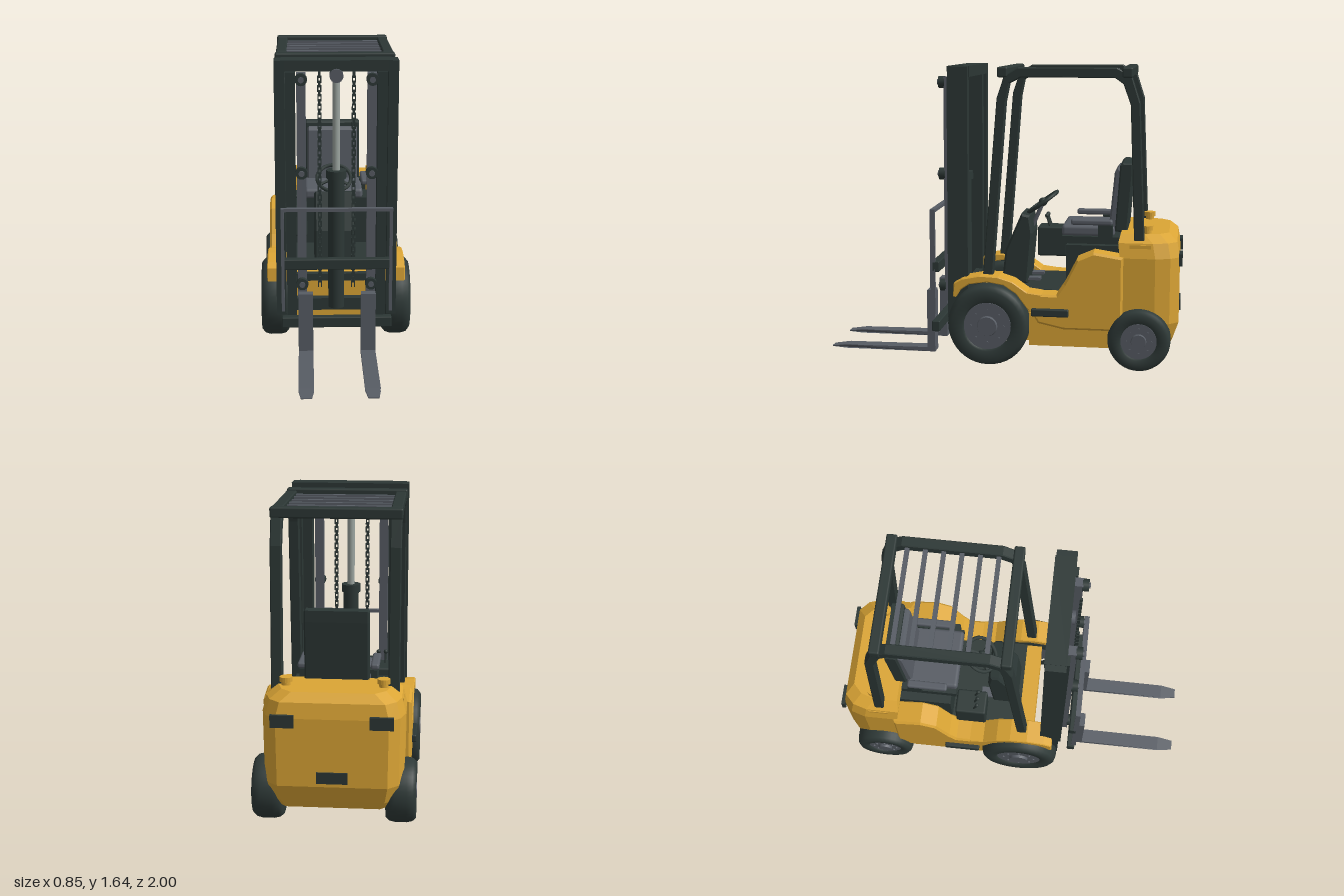
import * as THREE from 'three';
import { RoundedBoxGeometry } from 'three/addons/geometries/RoundedBoxGeometry.js';

const paint = (name, color, flatShading = false) => {
  const m = new THREE.MeshStandardMaterial({ color });
  m.name = name;
  m.flatShading = flatShading;
  return m;
};

export function createModel() {
  const yellow = paint('yellowPaint', 0xdba535, true);
  const dark = paint('darkFrame', 0x2c3735);
  const rubber = paint('rubber', 0x2f3a38);
  const grey = paint('greySteel', 0x575c64);
  const chrome = paint('chrome', 0x9ca5a0);
  const model = new THREE.Group();
  model.name = 'forklift';

  const add = (name, geo, mat, x = 0, y = 0, z = 0, parent = model) => {
    const m = new THREE.Mesh(geo, mat);
    m.name = name;
    m.position.set(x, y, z);
    parent.add(m);
    return m;
  };
  // Box given by its limits on each axis
  const box = (name, mat, [x0, x1], [y0, y1], [z0, z1], round = 0) => {
    const s = [x1 - x0, y1 - y0, z1 - z0];
    const geo = round ? new RoundedBoxGeometry(...s, 2, round) : new THREE.BoxGeometry(...s);
    return add(name, geo, mat, (x0 + x1) / 2, (y0 + y1) / 2, (z0 + z1) / 2);
  };
  // Side outline of [z, y] points, extruded from x0 to x1
  const slab = (name, mat, pts, x0, x1, bevel = 0) => {
    const shape = new THREE.Shape(pts.map(([z, y]) => new THREE.Vector2(z, y)));
    const geo = new THREE.ExtrudeGeometry(shape, {
      depth: x1 - x0 - 2 * bevel, bevelEnabled: bevel > 0, bevelSize: bevel,
      bevelThickness: bevel, bevelOffset: -bevel, bevelSegments: 1,
    });
    geo.rotateY(-Math.PI / 2).translate(x1 - bevel, 0, 0);
    return add(name, geo, mat);
  };
  const rod = (name, mat, a, b, r, seg = 16) => {
    const p = new THREE.Vector3(...a), d = new THREE.Vector3(...b).sub(p);
    const m = add(name, new THREE.CylinderGeometry(r, r, d.length(), seg), mat);
    m.position.copy(p).addScaledVector(d, 0.5);
    m.quaternion.setFromUnitVectors(new THREE.Vector3(0, 1, 0), d.normalize());
    return m;
  };
  const span = (s, a, b) => (s > 0 ? [a, b] : [-b, -a]);

  // Chassis
  slab('chassis', yellow, [[0.13, 0.13], [0.13, 0.4], [-0.68, 0.4], [-0.68, 0.12], [0.1, 0.12]], -0.26, 0.26);
  box('lowerBody', yellow, [-0.36, 0.36], [0.12, 0.3], [-0.7, -0.17]);
  box('floor', dark, [-0.26, 0.26], [0.395, 0.412], [-0.36, 0.04]);
  box('engineCover', dark, [-0.25, 0.25], [0.4, 0.665], [-0.68, -0.36]);

  // Counterweight lofted from chamfered loops: [y, half width, back z, front z]
  const levels = [[0.13, 0.32, -0.935, -0.66], [0.17, 0.345, -0.95, -0.66], [0.26, 0.36, -0.98, -0.66],
    [0.62, 0.365, -0.98, -0.66], [0.7, 0.345, -0.965, -0.65], [0.742, 0.29, -0.92, -0.66]];
  const pos = [], idx = [], n = 8;
  levels.forEach(([y, w, b, f]) => {
    const half = [[w, f], [w, b + 0.13], [w - 0.025, b + 0.05], [w - 0.08, b]];
    [...half, ...half.map(([x, z]) => [-x, z]).reverse()].forEach(([x, z]) => pos.push(x, y, z));
  });
  for (let l = 0; l < levels.length - 1; l++) {
    for (let i = 0; i < n; i++) {
      const a = l * n + i, b = l * n + (i + 1) % n;
      idx.push(a, b, b + n, a, b + n, a + n);
    }
  }
  const top = (levels.length - 1) * n;
  for (let i = 1; i < n - 1; i++) idx.push(0, i + 1, i, top, top + i, top + i + 1);
  const weight = new THREE.BufferGeometry();
  weight.setAttribute('position', new THREE.Float32BufferAttribute(pos, 3));
  weight.setIndex(idx);
  weight.computeVertexNormals();
  add('counterweight', weight, yellow);
  box('rearPlate', dark, [-0.08, 0.08], [0.28, 0.34], [-0.988, -0.979]);

  // Wheel with its axle along x
  const wheel = (name, s, r, hub, z) => {
    const g = new THREE.Group();
    g.name = name;
    g.position.set(s * 0.345, r + 0.005, z);
    g.rotation.z = -s * Math.PI / 2;
    model.add(g);
    const tyre = [[hub, -0.075], [r * 0.86, -0.078], [r * 0.96, -0.06], [r, -0.03], [r, 0.03],
      [r * 0.96, 0.06], [r * 0.86, 0.078], [hub * 1.08, 0.075], [hub, 0.06]];
    add('tyre', new THREE.LatheGeometry(tyre.map(p => new THREE.Vector2(...p)), 40), rubber, 0, 0, 0, g);
    add('rim', new THREE.CylinderGeometry(hub, hub, 0.13, 32), grey, 0, 0, 0, g);
    add('hubCap', new THREE.CylinderGeometry(hub * 0.4, hub * 0.45, 0.02, 20), grey, 0, 0.07, 0, g);
    for (let i = 0; i < 8; i++) {
      const t = i * Math.PI / 4;
      add('wheelNut', new THREE.CylinderGeometry(0.007, 0.007, 0.01, 6), grey,
        Math.cos(t) * hub * 0.7, 0.068, Math.sin(t) * hub * 0.7, g);
    }
  };

  for (const s of [1, -1]) {
    wheel('frontWheel', s, 0.225, 0.13, 0.055);
    wheel('rearWheel', s, 0.17, 0.097, -0.77);

    // Side panel, fender and step
    slab('sidePanel', yellow, [[-0.68, 0.22], [-0.36, 0.22], [-0.22, 0.25], [-0.17, 0.34], [-0.15, 0.41],
      [-0.32, 0.41], [-0.36, 0.47], [-0.43, 0.61], [-0.52, 0.65], [-0.68, 0.625]].reverse(), ...span(s, 0.245, 0.388), 0.012);
    slab('fender', yellow, [[0.25, 0.385], [0.245, 0.46], [0.2, 0.485], [0.1, 0.505], [0, 0.5], [-0.08, 0.475],
      [-0.16, 0.42], [-0.24, 0.41], [-0.22, 0.27], [-0.16, 0.33], [-0.1, 0.41], [-0.03, 0.455],
      [0.06, 0.47], [0.16, 0.455], [0.21, 0.42], [0.235, 0.38]], ...span(s, 0.25, 0.388), 0.005);
    box('step', dark, span(s, 0.33, 0.412), [0.293, 0.335], [-0.39, -0.185], 0.008);
    box('pillarFoot', yellow, span(s, 0.265, 0.352), [0.6, 0.69], [-0.825, -0.71]);
    box('tailLight', dark, span(s, 0.19, 0.31), [0.575, 0.64], [-0.995, -0.975]);
    rod('beaconBase', yellow, [s * 0.25, 0.73, -0.8], [s * 0.25, 0.765, -0.8], 0.024);
    rod('beacon', yellow, [s * 0.25, 0.76, -0.8], [s * 0.25, 0.785, -0.8], 0.033);

    // Overhead guard side frame: front post, roof rail and rear post in one outline
    slab('guardFrame', dark, [[0.095, 0.46], [0.015, 1.47], [-0.025, 1.59], [-0.1, 1.635], [-0.63, 1.635],
      [-0.71, 1.59], [-0.755, 1.45], [-0.79, 0.68], [-0.735, 0.68], [-0.705, 1.44], [-0.665, 1.55],
      [-0.62, 1.582], [-0.115, 1.582], [-0.055, 1.55], [-0.035, 1.45], [0.04, 0.46]], ...span(s, 0.272, 0.33), 0.005);

    // Mast uprights, guide rails and rollers
    box('outerMast', dark, span(s, 0.28, 0.335), [0.2, 1.64], [0.175, 0.285]);
    box('innerMast', dark, span(s, 0.222, 0.275), [0.2, 1.58], [0.19, 0.3]);
    box('guideRail', grey, span(s, 0.165, 0.215), [0.32, 1.58], [0.285, 0.33]);
    for (const y of [0.405, 1.04, 1.55]) {
      rod('roller', dark, [s * 0.19, y, 0.325], [s * 0.19, y, 0.36], 0.033);
      rod('rollerPin', grey, [s * 0.19, y, 0.355], [s * 0.19, y, 0.368], 0.016);
    }

    // Lift chain of paired and single links
    for (let i = 0; i < 24; i++) {
      const y = 0.38 + i * 0.05;
      for (const o of [-0.008, 0.008]) {
        box('chainPlate', dark, [s * 0.092 + o - 0.003, s * 0.092 + o + 0.003], [y, y + 0.036], [0.318, 0.334]);
      }
      box('chainLink', dark, [s * 0.092 - 0.007, s * 0.092 + 0.007], [y + 0.026, y + 0.06], [0.32, 0.332]);
    }

    // Forks and load backrest
    slab('fork', grey, [[0.39, 0.018], [0.91, 0.018], [1, 0.022], [1, 0.027], [0.91, 0.038],
      [0.435, 0.042], [0.435, 0.375], [0.39, 0.375]], ...span(s, 0.132, 0.213));
    box('backrestSide', grey, span(s, 0.288, 0.305), [0.26, 0.852], [0.367, 0.395]);
    box('armrest', grey, span(s, 0.17, 0.215), [0.77, 0.802], [-0.61, -0.38], 0.012);
    box('armrestMount', dark, span(s, 0.165, 0.205), [0.7, 0.77], [-0.61, -0.53]);
  }
  // Tapered fork tips
  model.children.filter(c => c.name === 'fork').forEach(({ geometry }) => {
    const p = geometry.attributes.position;
    for (let i = 0; i < p.count; i++) {
      if (p.getZ(i) > 0.95) {
        const c = Math.sign(p.getX(i)) * 0.1725;
        p.setX(i, c + (p.getX(i) - c) * 0.7);
      }
    }
    geometry.computeVertexNormals();
  });

  // Roof crossbars and slats
  box('guardFrontBar', dark, [-0.335, 0.335], [1.582, 1.638], [-0.045, 0.013], 0.01);
  box('guardRearBar', dark, [-0.335, 0.335], [1.582, 1.638], [-0.715, -0.657], 0.01);
  for (let i = 0; i < 6; i++) {
    const z = -0.6 + i * 0.096;
    box('roofSlat', grey, [-0.28, 0.28], [1.6, 1.618], [z - 0.012, z + 0.012]);
  }

  // Mast crossmembers, lift cylinder and carriage
  box('mastTopBar', dark, [-0.3, 0.3], [1.582, 1.642], [0.17, 0.285]);
  box('mastLowerBar', dark, [-0.3, 0.3], [0.2, 0.27], [0.175, 0.22]);
  box('mastMiddleBar', dark, [-0.24, 0.24], [0.38, 0.42], [0.19, 0.23]);
  rod('liftCylinder', dark, [0, 0.24, 0.26], [0, 1, 0.26], 0.045, 24);
  rod('cylinderCollar', dark, [0, 0.99, 0.26], [0, 1.035, 0.26], 0.055, 24);
  rod('pistonRod', chrome, [0, 1.03, 0.26], [0, 1.56, 0.26], 0.021, 20);
  rod('chainPulley', grey, [0, 1.56, 0.24], [0, 1.56, 0.305], 0.037, 24);
  for (const y of [0.19, 0.53]) box('carriageBar', dark, [-0.305, 0.305], [y - 0.03, y + 0.03], [0.343, 0.388], 0.006);
  box('backrestTop', grey, [-0.305, 0.305], [0.835, 0.852], [0.367, 0.395]);

  // Seat
  box('seatBase', dark, [-0.2, 0.2], [0.66, 0.705], [-0.65, -0.33]);
  box('seatCushion', grey, [-0.175, 0.175], [0.7, 0.762], [-0.62, -0.325], 0.02);
  slab('backCushion', grey, [[-0.585, 0.74], [-0.615, 1.06], [-0.63, 1.08], [-0.67, 1.08], [-0.66, 0.74]], -0.155, 0.155, 0.01);
  slab('seatShell', dark, [[-0.62, 0.73], [-0.645, 1.1], [-0.66, 1.112], [-0.715, 1.11], [-0.715, 1.05], [-0.69, 0.73]].reverse(), -0.168, 0.168, 0.008);

  // Dashboard, console, levers, pedals and steering
  slab('dashboard', dark, [[0.02, 0.41], [0, 0.6], [-0.09, 0.81], [-0.14, 0.8], [-0.155, 0.7], [-0.13, 0.41]], -0.12, 0.12, 0.012);
  box('sideConsole', dark, [-0.3, -0.16], [0.52, 0.695], [-0.325, -0.15], 0.012);
  for (let i = 0; i < 3; i++) {
    const x = -0.27 + i * 0.04;
    rod('lever', dark, [x, 0.69, -0.22], [x, 0.75, -0.2], 0.006, 8);
    add('leverKnob', new THREE.SphereGeometry(0.012, 10, 8), dark, x, 0.755, -0.2);
  }
  for (const x of [-0.08, 0.08]) box('pedal', grey, [x - 0.03, x + 0.03], [0.43, 0.445], [-0.2, -0.13]);
  rod('steeringColumn', grey, [0, 0.7, -0.13], [0, 0.85, -0.195], 0.012, 12);
  const steering = new THREE.Group();
  steering.name = 'steeringWheel';
  steering.position.set(0, 0.865, -0.2);
  steering.rotation.x = Math.PI / 2 - 0.63;
  model.add(steering);
  add('steeringRim', new THREE.TorusGeometry(0.1, 0.011, 8, 32), dark, 0, 0, 0, steering);
  add('steeringHub', new THREE.SphereGeometry(0.025, 12, 8), dark, 0, 0, 0, steering);
  for (let i = 0; i < 3; i++) {
    const spoke = add('steeringSpoke', new THREE.BoxGeometry(0.015, 0.1, 0.01).translate(0, 0.05, 0), dark, 0, 0, 0, steering);
    spoke.rotation.z = i * Math.PI * 2 / 3;
  }
  // Steering wheel leans towards the seat
  steering.rotation.x = -(Math.PI / 2 - 0.63);
  return model;
}
